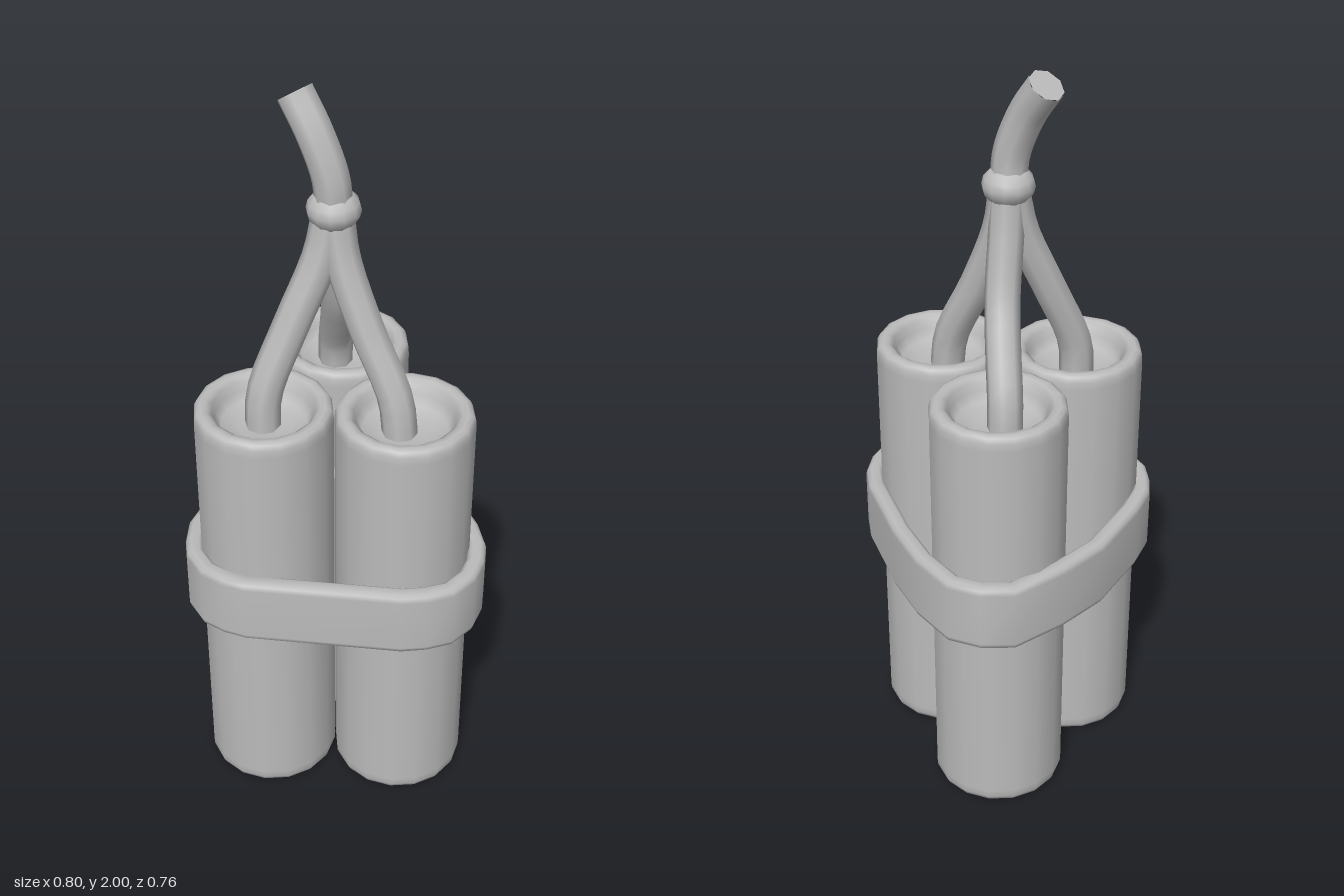
import * as THREE from 'three';

const grey = new THREE.MeshStandardMaterial({ color: 0xbbbbbb });
grey.name = 'plain grey';

const v3 = (p) => new THREE.Vector3(...p);
const v2 = (p) => new THREE.Vector2(...p);

function part(name, geometry) {
  const mesh = new THREE.Mesh(geometry, grey);
  mesh.name = name;
  return mesh;
}

// Round stick with soft rims and a shallow hollow at both ends
function stickGeometry() {
  const end = [[0, 0.075], [0.06, 0.072], [0.11, 0.06], [0.125, 0.035], [0.132, 0.012],
    [0.145, 0.002], [0.16, 0], [0.172, 0.005], [0.178, 0.018], [0.179, 0.04]];
  const other = end.map(([r, y]) => [r, 1.2 - y]).reverse();
  return new THREE.LatheGeometry([...end, ...other].map(v2), 16);
}

// Closed band: a rounded strip section swept around a plan outline
function bandGeometry() {
  const plan = [[-0.4, 0.14], [-0.395, 0.21], [-0.38, 0.27], [-0.33, 0.335], [-0.27, 0.365],
    [-0.21, 0.38], [0, 0.38], [0.2, 0.38], [0.265, 0.365], [0.33, 0.335], [0.38, 0.27],
    [0.4, 0.2], [0.4, 0.13], [0.375, 0.05], [0.265, -0.15], [0.18, -0.27], [0.08, -0.365],
    [-0.01, -0.385], [-0.1, -0.37], [-0.21, -0.26], [-0.3, -0.14], [-0.375, 0.045]];
  // inset from the outline, height
  const section = [[0.004, 0.587], [0, 0.6], [0, 0.755], [0.004, 0.768], [0.014, 0.775],
    [0.036, 0.775], [0.046, 0.768], [0.05, 0.755], [0.05, 0.6], [0.046, 0.587],
    [0.036, 0.58], [0.014, 0.58]];
  const n = plan.length, m = section.length;
  const pos = [], index = [];
  for (let i = 0; i < n; i++) {
    const a = plan[(i + n - 1) % n], b = plan[(i + 1) % n];
    const t = new THREE.Vector2(b[0] - a[0], b[1] - a[1]).normalize();
    for (let j = 0; j < m; j++) {
      const [inset, y] = section[j];
      pos.push(plan[i][0] + t.y * inset, y, plan[i][1] - t.x * inset);
      const i2 = (i + 1) % n, j2 = (j + 1) % m;
      const p = i * m + j, q = i2 * m + j, r = i2 * m + j2, s = i * m + j2;
      index.push(p, q, r, p, r, s);
    }
  }
  const g = new THREE.BufferGeometry();
  g.setAttribute('position', new THREE.Float32BufferAttribute(pos, 3));
  g.setIndex(index);
  g.computeVertexNormals();
  return g;
}

// Cord along a smooth path, closed with a disc at its far end
function cord(name, points, radius) {
  const curve = new THREE.CatmullRomCurve3(points.map(v3));
  const group = new THREE.Group();
  group.name = name;
  const cap = part('cordTip', new THREE.CircleGeometry(radius, 8));
  cap.position.copy(curve.getPoint(1));
  cap.quaternion.setFromUnitVectors(new THREE.Vector3(0, 0, 1), curve.getTangent(1));
  group.add(part('cordLength', new THREE.TubeGeometry(curve, 14, radius, 8)), cap);
  return group;
}

export function createModel() {
  const model = new THREE.Group();
  model.name = 'stickBundle';

  // Three sticks standing in a triangle
  const stick = stickGeometry();
  const spots = { rightStick: [-0.18, 0.168], leftStick: [0.177, 0.15], backStick: [-0.022, -0.157] };
  for (const [name, [x, z]] of Object.entries(spots)) {
    const mesh = part(name, stick);
    mesh.position.set(x, 0, z);
    model.add(mesh);
  }

  model.add(part('band', bandGeometry()));

  // Cords rising from the sticks and meeting at the knot
  model.add(
    cord('rightCord', [[-0.185, 1.1, 0.155], [-0.18, 1.22, 0.145], [-0.115, 1.4, 0.1],
      [-0.045, 1.58, 0.06], [-0.022, 1.7, 0.045]], 0.046),
    cord('leftCord', [[0.165, 1.1, 0.145], [0.15, 1.22, 0.135], [0.07, 1.4, 0.095],
      [0.005, 1.58, 0.06], [-0.012, 1.7, 0.045]], 0.046),
    cord('backCord', [[-0.04, 1.1, -0.165], [-0.038, 1.2, -0.15], [-0.025, 1.3, -0.095],
      [-0.012, 1.42, -0.025], [-0.014, 1.58, 0.022], [-0.016, 1.7, 0.042]], 0.046),
    cord('topCord', [[-0.016, 1.68, 0.045], [-0.022, 1.78, 0.05],
      [-0.062, 1.89, 0.035], [-0.112, 1.975, 0.002]], 0.047)
  );

  // Knot
  const knot = part('knot', new THREE.SphereGeometry(0.068, 12, 8));
  knot.scale.y = 0.78;
  knot.position.set(-0.016, 1.7, 0.045);
  model.add(knot);

  return model;
}
